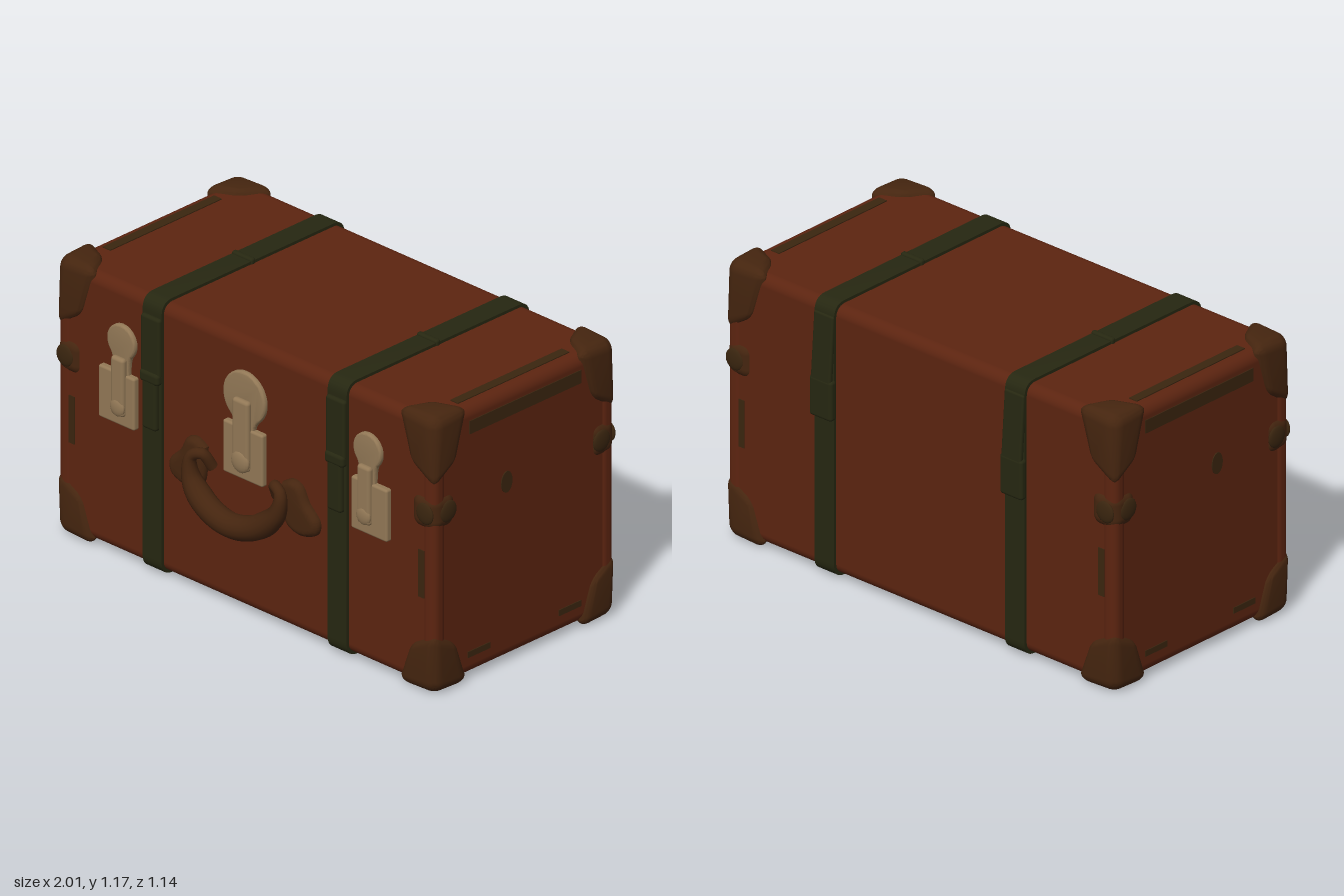
import * as THREE from 'three';
import { mergeVertices, toCreasedNormals } from 'three/addons/utils/BufferGeometryUtils.js';
import { RoundedBoxGeometry } from 'three/addons/geometries/RoundedBoxGeometry.js';

const material = (name, color) => {
  const m = new THREE.MeshStandardMaterial({ color });
  m.name = name;
  return m;
};

export function createModel() {
  const leather = material('red brown leather', 0x5c2410);
  const capBrown = material('dark brown leather', 0x45250f);
  const strapGreen = material('dark green strap', 0x262711);
  const brass = material('aged brass', 0x927856);
  const worn = material('worn patch', 0x3a250f);

  const model = new THREE.Group();
  model.name = 'suitcase';
  const FRONT = 0.43, BACK = -0.53, BOTTOM = 0.025, TOP = 1.155, SIDE = 0.985;
  const midY = (TOP + BOTTOM) / 2, midZ = (FRONT + BACK) / 2;

  const add = (name, geometry, mat, x = 0, y = 0, z = 0, parent = model) => {
    const mesh = new THREE.Mesh(geometry, mat);
    mesh.name = name;
    mesh.position.set(x, y, z);
    parent.add(mesh);
    return mesh;
  };
  const rounded = (w, h, d, r, s = 3) => new RoundedBoxGeometry(w, h, d, s, r);
  const smooth = (g) => {
    g.deleteAttribute('normal');
    g.deleteAttribute('uv');
    return toCreasedNormals(mergeVertices(g, 1e-5), 0.7);
  };
  const extrude = (shape, depth, bevel, segments = 3) => smooth(new THREE.ExtrudeGeometry(shape, {
    depth, bevelEnabled: bevel > 0, bevelSize: bevel, bevelThickness: bevel,
    bevelOffset: -bevel, bevelSegments: segments, curveSegments: 14,
  }));

  // Case body
  add('body', rounded(SIDE * 2, TOP - BOTTOM, FRONT - BACK, 0.045, 4), leather, 0, midY, midZ);

  // Corner caps: rounded boxes whose arms narrow away from the case corner
  const cornerCap = (sx, sy, sz, w, h, d) => {
    const g = rounded(w, h, d, 0.055, 5);
    const p = g.attributes.position;
    for (let i = 0; i < p.count; i++) {
      const a = 0.5 - sx * p.getX(i) / w;
      const b = 0.5 - sy * p.getY(i) / h;
      const c = 0.5 - sz * p.getZ(i) / d;
      p.setXYZ(i,
        -sx * w * a * (1 - 0.35 * Math.max(b, c)),
        -sy * h * b * (1 - 0.3 * Math.max(a, c)),
        -sz * d * c * (1 - 0.35 * Math.max(a, b)));
    }
    return smooth(g);
  };
  for (const sx of [-1, 1]) for (const sz of [-1, 1]) {
    const z = sz > 0 ? 0.443 : -0.543;
    add('topCornerCap', cornerCap(sx, 1, sz, 0.21, 0.31, 0.2), capBrown, sx, 1.175, z);
    add('bottomCornerCap', cornerCap(sx, -1, sz, 0.21, 0.27, 0.2), capBrown, sx, 0.006, z);

    // Small edge guard halfway up each upright edge
    const guard = add('edgeGuard', rounded(0.13, 0.15, 0.13, 0.045, 4), capBrown,
      sx * 0.932, 0.765, z - sz * 0.065);
    const boss = add('edgeGuardBoss', new THREE.SphereGeometry(0.045, 16, 10), worn, sx * 0.015, 0, sz * 0.062, guard);
    boss.scale.z = 0.25;
    const sideBoss = add('edgeGuardBoss', new THREE.SphereGeometry(0.045, 16, 10), worn, sx * 0.062, 0, sz * -0.015, guard);
    sideBoss.scale.x = 0.25;

    // Raised welt on the upright edge, with worn stretches
    add('edgeWelt', rounded(0.07, 0.85, 0.07, 0.03), leather, sx * 0.957, midY, z - sz * 0.042);
    add('edgeWear', new THREE.BoxGeometry(0.03, 0.2, 0.006), worn, sx * 0.92, 0.5, sz > 0 ? FRONT : BACK);
  }

  // Worn strips on the ends and on the lid
  for (const s of [-1, 1]) {
    add('endTopStrip', new THREE.BoxGeometry(0.008, 0.055, 0.6), worn, s * SIDE, 1.07, -0.06);
    for (const z of [0.19, -0.3])
      add('endBottomStrip', new THREE.BoxGeometry(0.008, 0.025, 0.12), worn, s * SIDE, 0.115, z);
    add('lidStrip', new THREE.BoxGeometry(0.04, 0.008, 0.6), worn, s * 0.915, TOP, -0.05);
    const spot = add('endSpot', new THREE.CylinderGeometry(0.045, 0.045, 0.008, 20), worn, s * SIDE, 0.77, 0.04);
    spot.rotation.z = Math.PI / 2;
    spot.scale.z = 0.65;
  }

  // Straps: a rounded loop extruded across x, with front and back buckles
  const loopPath = (target, grow, r) => {
    const w = (FRONT - BACK) / 2 + grow, h = (TOP - BOTTOM) / 2 + grow;
    target.moveTo(-w + r, -h).lineTo(w - r, -h).quadraticCurveTo(w, -h, w, -h + r)
      .lineTo(w, h - r).quadraticCurveTo(w, h, w - r, h)
      .lineTo(-w + r, h).quadraticCurveTo(-w, h, -w, h - r)
      .lineTo(-w, -h + r).quadraticCurveTo(-w, -h, -w + r, -h);
    return target;
  };
  const strapShape = loopPath(new THREE.Shape(), 0.012, 0.06);
  strapShape.holes.push(loopPath(new THREE.Path(), -0.02, 0.04));
  const strapGeometry = extrude(strapShape, 0.1, 0);
  strapGeometry.translate(0, 0, -0.05).rotateY(-Math.PI / 2);
  strapGeometry.scale(1, 1, 1);
  for (const s of [-1, 1]) {
    const strap = new THREE.Group();
    strap.name = 'strap';
    strap.position.x = s * 0.487;
    model.add(strap);
    add('strapLoop', strapGeometry, strapGreen, 0, midY, midZ, strap);
    add('frontStrapEnd', rounded(0.1, 0.25, 0.03, 0.012), strapGreen, 0, 0.97, 0.442, strap);
    add('frontBuckle', rounded(0.1, 0.05, 0.04, 0.015), strapGreen, 0, 0.84, 0.446, strap);
    add('frontTongue', rounded(0.075, 0.24, 0.035, 0.014), strapGreen, 0, 0.74, 0.446, strap);
    add('lidKeeper', rounded(0.108, 0.03, 0.025, 0.01), strapGreen, 0, 1.163, -0.05, strap);
    const slope = add('backStrapEnd', rounded(0.1, 0.29, 0.02, 0.008), strapGreen, 0, 0.97, -0.548, strap);
    slope.rotation.x = 0.07;
    add('backBuckle', rounded(0.115, 0.17, 0.035, 0.014), strapGreen, 0, 0.765, -0.551, strap);
  }

  // Brass latches: base plate, round-headed keeper and hanging hasp
  const addLatch = (x, plateShift, plateWidth, headRadius, haspWidth) => {
    const latch = new THREE.Group();
    latch.name = 'latch';
    latch.position.set(x, 0, FRONT);
    model.add(latch);
    add('latchPlate', rounded(plateWidth, 0.22, 0.034, 0.01), brass, plateShift, 0.69, 0.008, latch);
    const cy = 1.03 - headRadius - (headRadius < 0.1 ? 0.03 : 0), n = haspWidth * 0.6;
    const head = new THREE.Shape();
    head.absarc(0, cy, headRadius, -0.75, Math.PI + 0.75, false);
    head.quadraticCurveTo(-n, cy - headRadius * 0.9, -n, 0.79);
    head.lineTo(n, 0.79);
    head.quadraticCurveTo(n, cy - headRadius * 0.9, headRadius * Math.cos(0.75), cy - headRadius * Math.sin(0.75));
    add('latchHead', extrude(head, 0.012, 0.008), brass, 0, 0, -0.001, latch);
    const top = headRadius < 0.1 ? 0.87 : 0.92;
    add('latchHasp', rounded(haspWidth, top - 0.625, 0.03, 0.014), brass, 0, (top + 0.625) / 2, 0.026, latch);
    const knob = add('latchKnob', new THREE.SphereGeometry(haspWidth * 0.55, 16, 10), brass, 0, 0.66, 0.034, latch);
    knob.scale.z = 0.35;
  };
  addLatch(0, 0, 0.21, 0.11, 0.085);
  for (const s of [-1, 1]) addLatch(s * 0.648, s * 0.017, 0.19, 0.073, 0.068);

  // Carrying handle: a hanging tube that thins towards both ends
  const curve = new THREE.CatmullRomCurve3([
    [-0.17, 0.57, 0.44], [-0.19, 0.63, 0.475], [-0.235, 0.61, 0.49], [-0.225, 0.53, 0.5], [-0.13, 0.445, 0.512], [0, 0.412, 0.518],
    [0.13, 0.445, 0.512], [0.225, 0.53, 0.5], [0.235, 0.61, 0.49], [0.19, 0.63, 0.475], [0.17, 0.57, 0.44],
  ].map((p) => new THREE.Vector3(...p)));
  const rings = 64, sides = 14;
  const grip = new THREE.TubeGeometry(curve, rings, 0.05, sides);
  const gp = grip.attributes.position, v = new THREE.Vector3();
  for (let i = 0; i < gp.count; i++) {
    const t = Math.floor(i / (sides + 1)) / rings;
    const size = 0.45 + 0.55 * THREE.MathUtils.smoothstep(0.5 - Math.abs(t - 0.5), 0.1, 0.32);
    const centre = curve.getPointAt(t);
    v.fromBufferAttribute(gp, i).sub(centre).multiplyScalar(size).add(centre);
    gp.setXYZ(i, v.x, v.y, v.z);
  }
  add('handleGrip', grip, capBrown);

  // Winged handle mounts
  for (const s of [-1, 1]) {
    const outline = [[0.2, 0.64], [0.25, 0.665], [0.3, 0.65], [0.335, 0.59], [0.39, 0.53], [0.375, 0.47], [0.29, 0.445], [0.215, 0.49]]
      .map(([x, y]) => new THREE.Vector2(s * x, y));
    const wing = new THREE.Shape().moveTo(outline[0].x, outline[0].y);
    wing.splineThru([...outline.slice(1), outline[0]]);
    add('handleMount', extrude(wing, 0.005, 0.03, 5), capBrown, 0, 0, 0.428);
  }

  return model;
}
